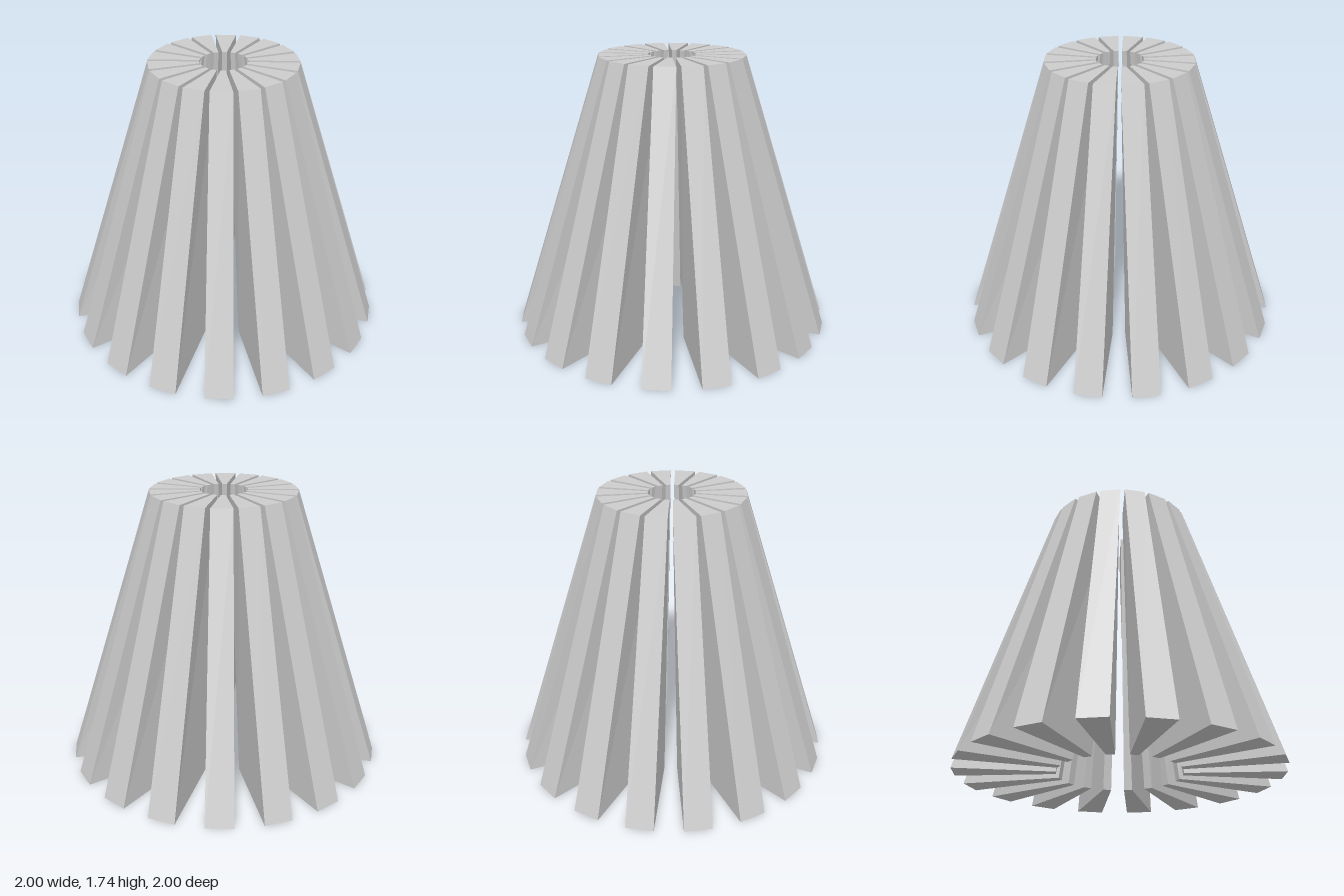
import * as THREE from 'three';

const COUNT = 18;
const HEIGHT = 1.74;
// inner/outer radius with the half width of the fin at each
const BOTTOM = { inner: 0.385, outer: 1.0, wInner: 0.026, wOuter: 0.086 };
const TOP = { inner: 0.145, outer: 0.45, wInner: 0.0145, wOuter: 0.065 };

// A box reshaped into a fin that tapers inward and upward
function finGeometry() {
  const geo = new THREE.BoxGeometry(1, 1, 1);
  const p = geo.attributes.position;
  for (let i = 0; i < p.count; i++) {
    const end = p.getY(i) > 0 ? TOP : BOTTOM;
    const outer = p.getX(i) > 0;
    const y = p.getY(i) > 0 ? HEIGHT : 0;
    const w = outer ? end.wOuter : end.wInner;
    p.setXYZ(i, outer ? end.outer : end.inner, y, Math.sign(p.getZ(i)) * w);
  }
  geo.computeVertexNormals();
  return geo;
}

export function createModel() {
  const model = new THREE.Group();
  model.name = 'finnedCone';
  const material = new THREE.MeshStandardMaterial({ color: 0xcccccc, flatShading: true });
  const geometry = finGeometry();

  // Ring of separate radial fins around an open core
  for (let i = 0; i < COUNT; i++) {
    const fin = new THREE.Mesh(geometry, material);
    fin.name = `fin${i + 1}`;
    fin.rotation.y = (i / COUNT) * Math.PI * 2;
    model.add(fin);
  }
  return model;
}
